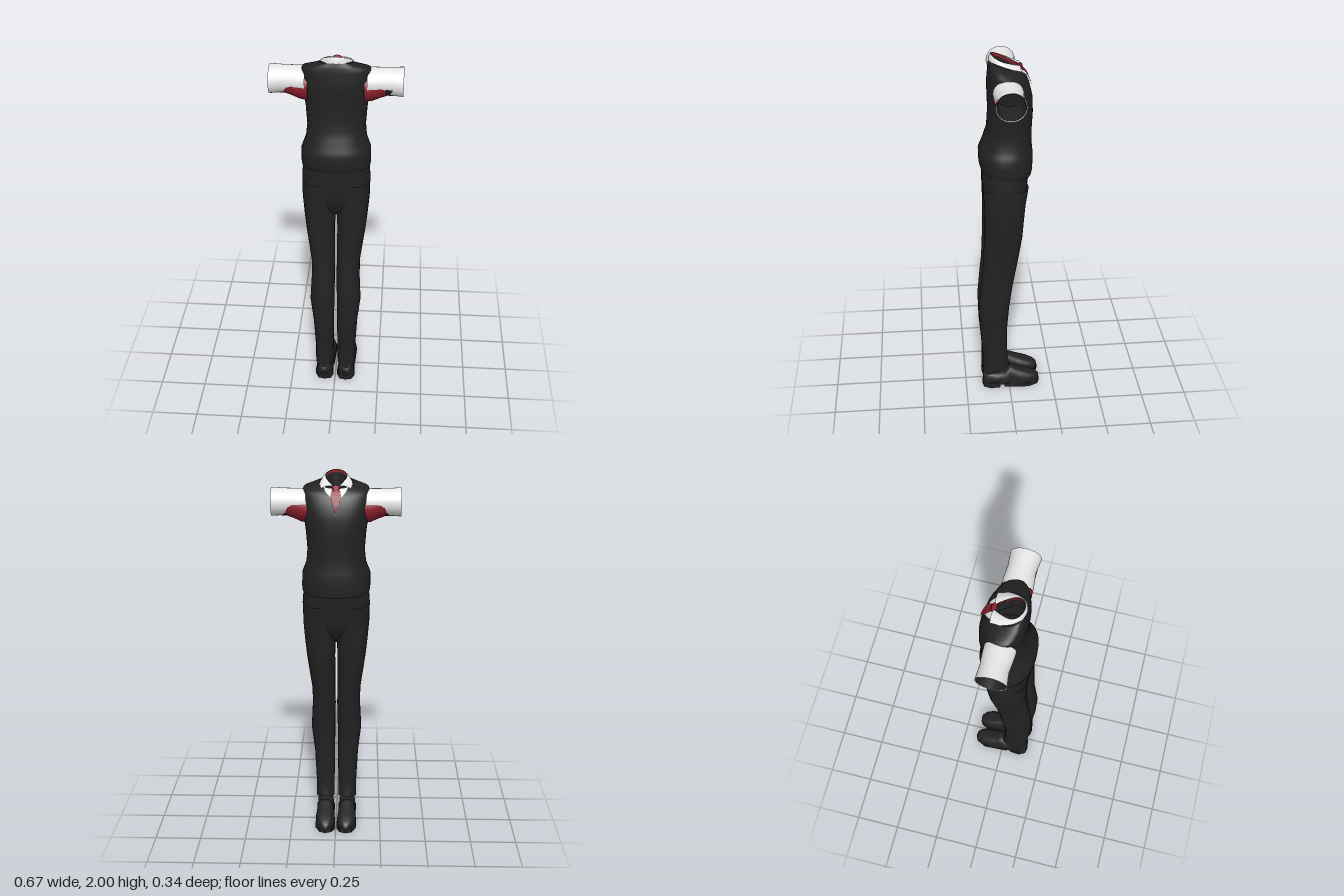
import * as THREE from 'three';

const flat = (name, color) => {
  const m = new THREE.MeshStandardMaterial({ color, side: THREE.DoubleSide });
  m.name = name;
  return m;
};
const spow = (s, e) => Math.sign(s) * Math.abs(s) ** e;
const TAU = Math.PI * 2;

// Linear interpolation through a list of section rows at fractional index v
function sample(rows, v) {
  const i = Math.min(Math.floor(v), rows.length - 2), t = v - i;
  return rows[i].map((a, k) => a + (rows[i + 1][k] - a) * t);
}

// Horizontal rounded section [y, centreX, halfWidth, zBack, zFront, tilt]; angle 0 is at -z
const E = 0.87;
const body = rows => (v, a) => {
  const [y, cx, w, zb, zf, tilt] = sample(rows, v);
  const dz = -(zb - zf) / 2 * spow(Math.cos(a), E);
  return [cx + w * spow(Math.sin(a), E), y + tilt * dz, (zb + zf) / 2 + dz];
};

// Section along x [x, centreY, centreZ, ry, rz]; angle 0 is underneath
const tubeX = rows => (v, a) => {
  const [x, cy, cz, ry, rz] = sample(rows, v);
  return [x, cy - ry * Math.cos(a), cz + rz * Math.sin(a)];
};

// Surface from a function of row and column; columns wrap round when closed
function surface(name, mat, nv, nu, closed, fn) {
  const pos = [], idx = [], cols = closed ? nu : nu + 1;
  for (let j = 0; j <= nv; j++)
    for (let i = 0; i < cols; i++) pos.push(...fn(j / nv, i / nu));
  for (let j = 0; j < nv; j++)
    for (let i = 0; i < nu; i++) {
      const a = j * cols + i, b = j * cols + (i + 1) % cols;
      idx.push(a, b, a + cols, b, b + cols, a + cols);
    }
  const g = new THREE.BufferGeometry();
  g.setAttribute('position', new THREE.Float32BufferAttribute(pos, 3));
  g.setIndex(idx);
  g.computeVertexNormals();
  const m = new THREE.Mesh(g, mat);
  m.name = name;
  return m;
}
const loft = (name, mat, rows, fn, nu = 32) =>
  surface(name, mat, (rows.length - 1) * 2, nu, true, (t, u) => fn(t * (rows.length - 1), u * TAU));

export function createModel() {
  const model = new THREE.Group();
  const black = flat('black cloth', 0x222222);
  const white = flat('white shirt', 0xf0f0f0);
  const red = flat('dark red', 0x8c1f2d);

  // Knitted vest with a gathered hem and open neck
  const vestRows = [
    [1.375, 0, 0.178, 0.148, -0.12, 0.1], [1.40, 0, 0.181, 0.155, -0.125, 0.1],
    [1.47, 0, 0.18, 0.157, -0.127, 0.05], [1.53, 0, 0.157, 0.137, -0.12, 0],
    [1.60, 0, 0.15, 0.113, -0.12, 0], [1.70, 0, 0.157, 0.106, -0.125, 0],
    [1.78, 0, 0.168, 0.108, -0.122, 0], [1.84, 0, 0.178, 0.11, -0.108, 0],
    [1.89, 0, 0.18, 0.105, -0.088, 0.03], [1.92, 0, 0.168, 0.10, -0.075, 0.2],
    [1.945, 0, 0.085, 0.09, -0.055, 0.3]];
  const vest = body(vestRows);
  model.add(loft('vest', black, vestRows, vest, 48));

  // Shirt front and tie, laid over the chest of the vest
  const vBottom = 6.3, vTop = 10;
  const neckWidth = v => 0.065 * (v - vBottom) / (vTop - vBottom);
  const chestPlate = (name, mat, width, lift) =>
    surface(name, mat, 22, 10, false, (t, u) => {
      const v = vBottom + (vTop - vBottom) * t;
      const x = width(v) * (2 * u - 1), w = sample(vestRows, v)[2];
      const p = vest(v, Math.asin(spow(x / w, 1 / E)));
      return [p[0], p[1] + lift * 0.6, p[2] - lift];
    });
  model.add(chestPlate('shirtFront', white, neckWidth, 0.005));
  model.add(chestPlate('tie', red, v => Math.min(neckWidth(v), 0.03 - 0.004 * (v - 7.5)), 0.009));
  const knot = new THREE.Mesh(new THREE.CylinderGeometry(0.024, 0.014, 0.035, 8), red);
  knot.name = 'tieKnot';
  knot.position.set(0, 1.922, -0.064);
  knot.rotation.x = 0.5;
  knot.scale.z = 0.6;
  model.add(knot);

  // Folded collar between its top edge and its outer edge, with a red lining
  const mirrored = pts => new THREE.CatmullRomCurve3([
    ...pts.map(p => new THREE.Vector3(...p)),
    ...pts.slice(0, -1).reverse().map(([x, y, z]) => new THREE.Vector3(-x, y, z))]);
  const topEdge = mirrored([[0.01, 1.935, -0.06], [0.034, 1.95, -0.02], [0.055, 1.972, 0.035],
    [0.042, 1.99, 0.072], [0, 2.0, 0.088]]);
  const outerEdge = mirrored([[0.078, 1.925, -0.06], [0.084, 1.943, 0], [0.074, 1.957, 0.045],
    [0.047, 1.965, 0.083], [0, 1.967, 0.1]]);
  model.add(surface('collar', white, 4, 36, false, (t, u) => {
    const p = topEdge.getPoint(u).lerp(outerEdge.getPoint(u), t);
    return [p.x, p.y + 0.008 * Math.sin(Math.PI * t), p.z];
  }));
  const lining = (name, mat, y0, y1, inset) => surface(name, mat, 1, 36, false, (t, u) => {
    const p = topEdge.getPoint(u);
    return [p.x * inset, p.y - y0 - (y1 - y0) * t, 0.02 + (p.z - 0.02) * inset];
  });
  model.add(lining('collarLining', red, 0.001, 0.016, 0.97));
  model.add(lining('neckLining', black, 0.016, 0.09, 0.96));

  // Trouser seat joining the legs
  const seatRows = [
    [1.40, 0, 0.172, 0.142, -0.113, 0], [1.30, 0, 0.18, 0.14, -0.10, 0],
    [1.20, 0, 0.176, 0.133, -0.085, 0], [1.13, 0, 0.14, 0.11, -0.055, 0],
    [1.08, 0, 0.05, 0.06, 0, 0]];
  model.add(loft('trouserSeat', black, seatRows, body(seatRows)));

  // Leg heights with inner and outer x, back and front z, hem tilt
  const legRows = [
    [1.30, 0, 0.178, 0.138, -0.10, 0], [1.20, 0, 0.178, 0.135, -0.085, 0],
    [1.10, 0.003, 0.17, 0.134, -0.077, 0], [1.0, 0.006, 0.16, 0.135, -0.07, 0],
    [0.8, 0.006, 0.133, 0.145, -0.04, 0], [0.7, 0.004, 0.132, 0.156, -0.022, 0],
    [0.55, 0.007, 0.14, 0.169, 0, 0], [0.4, 0.008, 0.123, 0.166, 0.011, 0],
    [0.2, 0.011, 0.113, 0.15, 0.012, 0], [0.112, 0.012, 0.114, 0.152, 0, -0.35]
  ].map(([y, xi, xo, ...rest]) => [y, (xi + xo) / 2, (xo - xi) / 2, ...rest]);

  const sleeveRows = [
    [0.155, 1.845, 0.012, 0.068, 0.077], [0.20, 1.845, 0.011, 0.068, 0.075],
    [0.26, 1.845, 0.010, 0.069, 0.07], [0.335, 1.844, 0.012, 0.074, 0.077]];
  const insideRows = sleeveRows.map(([x, y, z, a, b]) => [x - 0.001, y, z, a - 0.004, b - 0.004]);
  const underarmRows = [
    [0.14, 1.815, 0.008, 0.08, 0.079], [0.18, 1.82, 0.009, 0.078, 0.077],
    [0.22, 1.832, 0.010, 0.072, 0.073], [0.262, 1.842, 0.010, 0.067, 0.067]];

  // Shoe upper rows: z, centre x, half width, top height
  const shoeRows = [
    [0.152, 0.062, 0.022, 0.05], [0.148, 0.062, 0.036, 0.11], [0.12, 0.062, 0.047, 0.1],
    [0.07, 0.062, 0.045, 0.08], [0.02, 0.062, 0.046, 0.09], [-0.005, 0.061, 0.048, 0.125],
    [-0.03, 0.061, 0.05, 0.112], [-0.06, 0.061, 0.053, 0.1], [-0.11, 0.06, 0.053, 0.082],
    [-0.148, 0.059, 0.04, 0.066], [-0.17, 0.058, 0.02, 0.05], [-0.172, 0.058, 0.004, 0.02]];
  const slab = (name, pts, h, y) => {
    const g = new THREE.ExtrudeGeometry(
      new THREE.Shape(pts.map(([x, z]) => new THREE.Vector2(x, -z))),
      { depth: h, bevelEnabled: false });
    g.rotateX(-Math.PI / 2).translate(0, y, 0);
    const m = new THREE.Mesh(g, black);
    m.name = name;
    return m;
  };

  for (const [side, s] of [['left', 1], ['right', -1]]) {
    const half = new THREE.Group();
    half.name = side + 'Limbs';
    half.scale.x = s;

    // Sleeve with dark inside, red underarm and dark patch below
    const sleeve = tubeX(sleeveRows);
    half.add(loft(side + 'Sleeve', white, sleeveRows, sleeve));
    half.add(loft(side + 'SleeveInside', black, insideRows, tubeX(insideRows)));
    half.add(loft(side + 'Underarm', red, underarmRows, tubeX(underarmRows)));
    const reach = s > 0 ? 1.35 : 0.8;
    half.add(surface(side + 'SleevePatch', black, 6, 16, false, (t, u) => {
      const a = -0.8 + (reach + 0.8) * u;
      const p = sleeve(1.75 + 0.6 * t * (0.8 + 0.2 * Math.cos(4 * a)), a);
      return [p[0], 1.845 + (p[1] - 1.845) * 1.04, 0.011 + (p[2] - 0.011) * 1.04];
    }));

    // Trouser leg
    half.add(loft(side + 'TrouserLeg', black, legRows, body(legRows), 24));

    // Shoe: upper, sole and heel block
    half.add(surface(side + 'ShoeUpper', black, shoeRows.length - 1, 14, false, (t, u) => {
      const [z, cx, w, top] = sample(shoeRows, t * (shoeRows.length - 1));
      const a = Math.PI * u;
      return [cx - w * spow(Math.cos(a), 0.65), 0.016 + (top - 0.016) * Math.max(0, Math.sin(a)) ** 0.65, z];
    }));
    half.add(slab(side + 'Sole', [[0.012, 0.03], [0.006, -0.06], [0.004, -0.125], [0.022, -0.162],
      [0.058, -0.175], [0.09, -0.163], [0.115, -0.11], [0.113, -0.05], [0.108, 0.03]], 0.025, 0));
    half.add(slab(side + 'Shank', [[0.018, 0.07], [0.016, 0.02], [0.104, 0.02], [0.106, 0.07]], 0.014, 0.02));
    half.add(slab(side + 'Heel', [[0.014, 0.055], [0.11, 0.055], [0.114, 0.11], [0.095, 0.148],
      [0.06, 0.155], [0.026, 0.148], [0.01, 0.11]], 0.034, 0));
    model.add(half);
  }
  return model;
}
